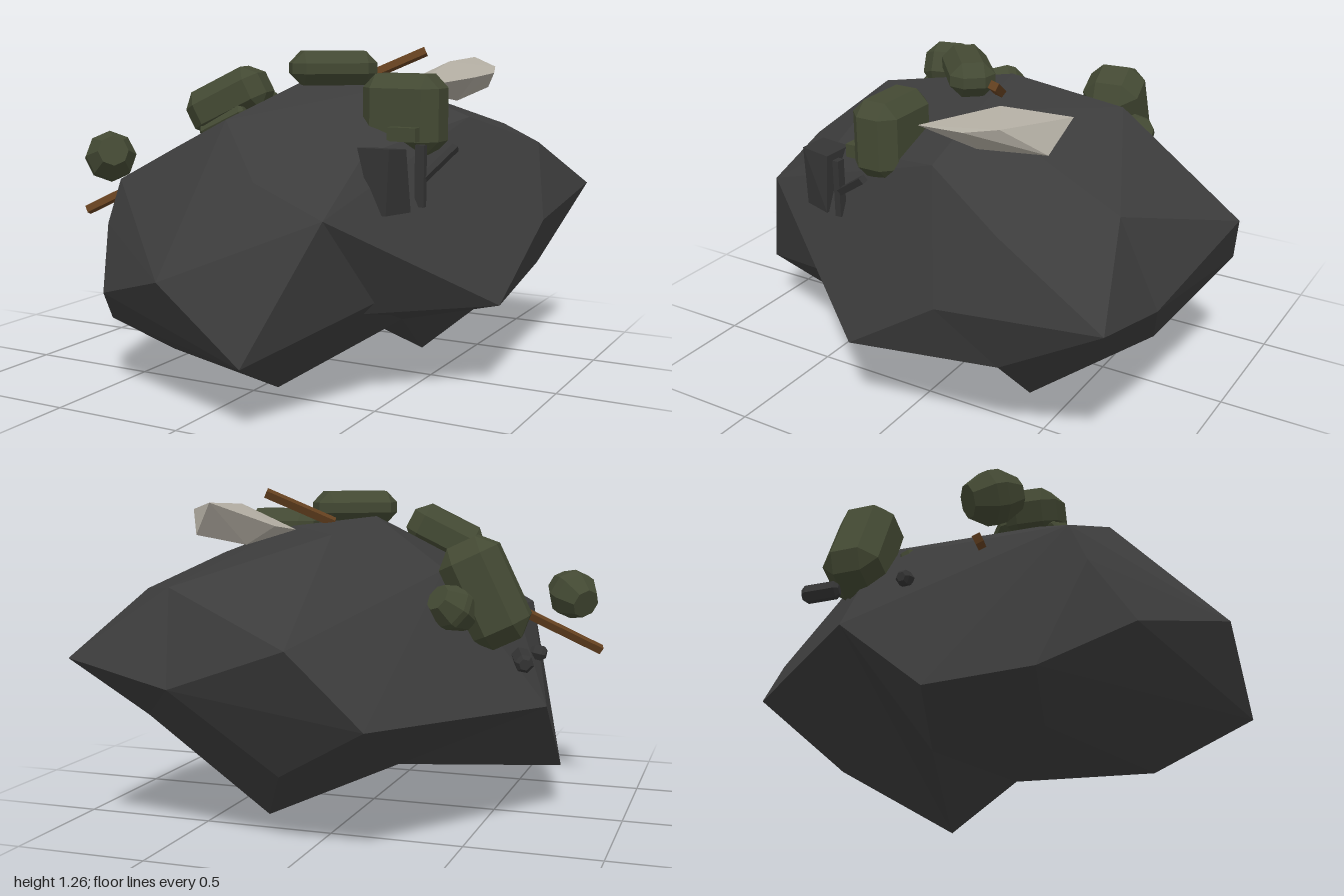
import * as THREE from 'three';
import { ConvexGeometry } from 'three/addons/geometries/ConvexGeometry.js';

const mat = (name, color) => {
  const m = new THREE.MeshStandardMaterial({ color });
  m.name = name;
  return m;
};
const V = (p) => new THREE.Vector3(...p);

export function createModel() {
  const group = new THREE.Group();
  const stone = mat('dark stone', 0x3c3c3c);
  const metal = mat('charcoal metal', 0x343434);
  const olive = mat('olive canvas', 0x434933);
  const pale = mat('pale stone', 0xb2ada2);
  const wood = mat('brown wood', 0x64401f);

  const add = (name, geo, material) => {
    const mesh = new THREE.Mesh(geo, material);
    mesh.name = name;
    group.add(mesh);
    return mesh;
  };
  const hull = (name, pts, material) => add(name, new ConvexGeometry(pts.map(V)), material);
  const aim = (mesh, pos, dir) => {
    mesh.position.set(...pos);
    mesh.quaternion.setFromUnitVectors(new THREE.Vector3(0, 1, 0), V(dir).normalize());
    return mesh;
  };

  // Chamfered block: length along dir, then height and width
  const block = (name, pos, dir, size, c) => {
    const [a, b, d] = size.map((s) => s / 2);
    const pts = [];
    for (const i of [-1, 1]) for (const j of [-1, 1]) for (const k of [-1, 1]) {
      pts.push([i * a, j * (b - c), k * (d - c)], [i * (a - c), j * b, k * (d - c)], [i * (a - c), j * (b - c), k * d]);
    }
    const mesh = hull(name, pts, olive);
    const x = V(dir).normalize();
    const z = x.clone().cross(new THREE.Vector3(0, 1, 0)).normalize();
    mesh.quaternion.setFromRotationMatrix(new THREE.Matrix4().makeBasis(x, z.clone().cross(x), z));
    mesh.position.set(...pos);
  };
  // Small faceted barrel lying along dir
  const barrel = (name, pos, dir, r, len, sides, material, chamfer = 0.45) => {
    const h = len / 2, c = r * chamfer;
    const profile = [[0, -h], [r * 0.6, -h], [r, -h + c], [r, h - c], [r * 0.6, h], [0, h]];
    const geo = new THREE.LatheGeometry(profile.map(([x, y]) => new THREE.Vector2(x, y)), sides).toNonIndexed();
    geo.computeVertexNormals();
    aim(add(name, geo, material), pos, dir);
  };
  // Square bar between two points
  const bar = (name, a, b, w, material) => {
    const A = V(a), B = V(b), d = B.clone().sub(A);
    aim(add(name, new THREE.BoxGeometry(w, d.length(), w), material),
      A.add(B).multiplyScalar(0.5).toArray(), d.toArray());
  };

  // Boulder: lobes sharing a middle ring, leaving a notch underneath
  const ring = [
    [-0.74, 0.47, -0.22], [-0.55, 0.8, 0.12], [-0.37, 0.97, -0.3],
    [-0.03, 1.15, -0.06], [0.3, 1.11, -0.1], [0.6, 1.0, -0.1], [0.76, 0.88, -0.45],
    [0.85, 0.6, -0.26], [0.35, 0.19, -0.06], [-0.1, 0.2, -0.2],
  ];
  hull('boulderFront', [...ring,
    [-0.74, 0.17, 0.12], [-0.65, 0.2, 0.5], [-0.41, 0.085, 0.42], [0.165, 0.065, 0.6],
    [0.235, 0.235, 0.97], [-0.07, 0.5, 1.0], [-0.46, 0.38, 0.79], [-0.54, 0.61, 0.65],
    [-0.53, 0.77, 0.58], [0.16, 0.82, 0.75], [0.43, 0.71, 0.76], [-0.07, 1.01, 0.56],
    [0.43, 0.9, 0.46], [-0.4, 0.88, 0.4]], stone);
  hull('boulderBack', [...ring,
    [0.315, 0, -0.34], [0.1, 0.265, -0.75], [-0.27, 0.48, -0.91], [-0.03, 0.75, -1.0],
    [0.45, 0.58, -0.9], [0.5, 0.92, -0.77], [-0.02, 1.1, -0.53], [0.765, 0.39, -0.46]], stone);
  hull('boulderBackCorner', [
    [0.84, 0.67, -0.885], [0.45, 0.58, -0.9], [0.5, 0.92, -0.77], [0.76, 0.88, -0.45],
    [0.85, 0.6, -0.26], [0.765, 0.39, -0.46], [0.4, 0.6, -0.4]], stone);
  hull('boulderLedge', [
    [0.82, 0.34, 0.13], [0.85, 0.6, -0.26], [0.765, 0.39, -0.46], [0.63, 0.51, 0.27],
    [0.4, 0.34, 0.52], [0.35, 0.19, -0.06], [0.43, 0.71, 0.76]], stone);

  // Pale rock chip on the crown
  hull('paleRock', [
    [0.44, 1.21, -0.56], [0.6, 1.18, -0.37], [0.64, 1.16, -0.25], [0.63, 1.15, -0.065],
    [0.36, 1.1, -0.07], [0.25, 1.1, -0.2], [0.26, 1.12, -0.38], [0.37, 1.05, -0.4],
    [0.5, 1.05, -0.22], [0.52, 1.09, -0.51], [0.44, 1.2, -0.28]], pale);

  // Packs over the top
  block('frontPack', [-0.21, 1.06, 0.31], [0.87, 0.45, -0.2], [0.32, 0.18, 0.2], 0.05);
  barrel('frontPackFlap', [-0.19, 0.985, 0.39], [0.87, 0.43, -0.1], 0.03, 0.2, 6, olive);
  block('topPack', [0.1, 1.18, 0.06], [0.75, 0, -0.62], [0.33, 0.13, 0.17], 0.045);
  block('sidePack', [0.455, 1.025, 0.168], [1, 0, 0], [0.3, 0.29, 0.19], 0.05);
  add('sidePackFlap', new THREE.BoxGeometry(0.11, 0.05, 0.04), olive).position.set(0.5, 0.96, 0.285);
  block('largePack', [-0.52, 0.89, -0.28], [0.4, 0.85, -0.05], [0.4, 0.23, 0.23], 0.06);
  barrel('largePackPouch', [-0.43, 0.84, -0.4], [0.5, 0.5, -0.6], 0.085, 0.16, 8, olive, 0.8);
  barrel('largePackToggle', [-0.45, 0.86, -0.12], [0, 0.3, 1], 0.03, 0.06, 6, olive);
  barrel('roundPouch', [-0.73, 0.825, 0.385], [0.6, 0.3, 0.6], 0.1, 0.19, 8, olive, 0.75);

  // Sticks poking out of the stone
  bar('leftStick', [-0.85, 0.6, 0.39], [-0.54, 0.77, 0.24], 0.03, wood);
  bar('topStick', [0.13, 1.125, -0.1], [0.37, 1.24, -0.21], 0.03, wood);

  // Metal fittings on the sides
  hull('wedgePlate', [
    [0.43, 0.93, 0.51], [0.55, 0.93, 0.51], [0.43, 0.92, 0.39], [0.56, 0.92, 0.39],
    [0.49, 0.7, 0.51], [0.54, 0.7, 0.51], [0.5, 0.7, 0.39], [0.58, 0.7, 0.39]], metal);
  add('thinPlate', new THREE.BoxGeometry(0.035, 0.22, 0.025), metal).position.set(0.585, 0.82, 0.32);
  bar('sideRod', [0.59, 0.81, 0.31], [0.65, 0.91, 0.16], 0.025, metal);
  barrel('leftPeg', [-0.665, 0.635, 0], [1, 0.2, 0], 0.03, 0.06, 6, metal);
  barrel('leftClip', [-0.675, 0.66, -0.355], [0.3, 0.1, 0.9], 0.035, 0.14, 6, metal);

  return group;
}
